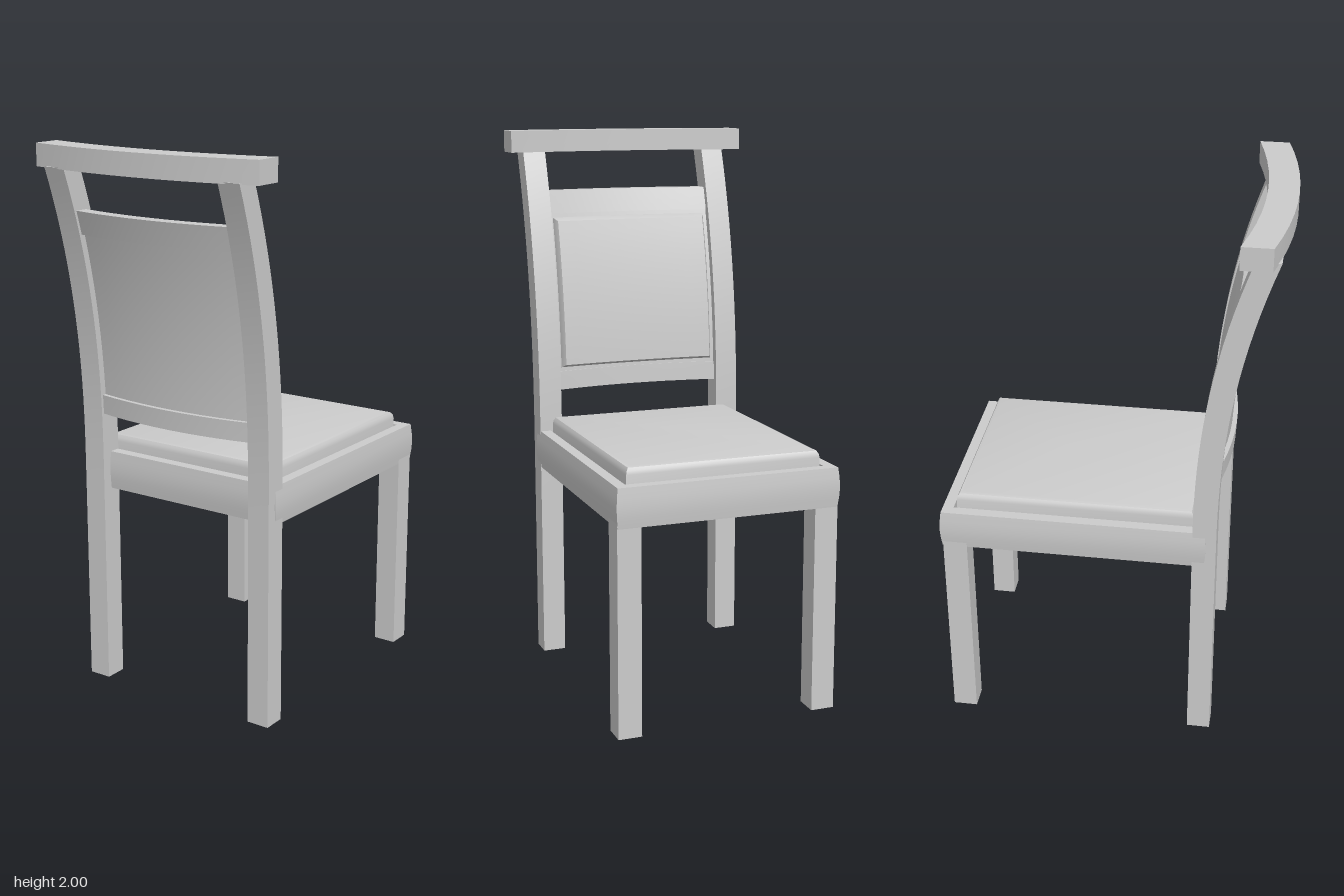
import * as THREE from 'three';
import { toCreasedNormals } from 'three/addons/utils/BufferGeometryUtils.js';

const material = new THREE.MeshStandardMaterial({ color: 0xcccccc });

// Centre line of the raked back posts: straight below the seat, curving back above it
const postZ = (y) => 0.351 + 0.146 * Math.pow(Math.max(0, y - 0.85), 2.3);
const bow = (x, half, depth) => depth * (1 - (x / half) ** 2);

function addMesh(parent, name, geometry) {
  const mesh = new THREE.Mesh(toCreasedNormals(geometry, 0.55), material);
  mesh.name = name;
  parent.add(mesh);
  return mesh;
}

// Box between y0 and y1 whose vertices are moved by a rule
function bentBox(width, y0, y1, depth, segments, rule) {
  const geometry = new THREE.BoxGeometry(width, y1 - y0, depth, ...segments);
  geometry.translate(0, (y0 + y1) / 2, 0);
  const p = geometry.attributes.position;
  const v = new THREE.Vector3();
  for (let i = 0; i < p.count; i++) {
    v.fromBufferAttribute(p, i);
    rule(v);
    p.setXYZ(i, v.x, v.y, v.z);
  }
  return geometry;
}

// Sweep an [inset, y] profile around a rectangle with mitred corners
function rectSweep(halfX, z0, z1, profile) {
  const rings = profile.map(([inset, y]) => {
    const x = halfX - inset;
    return [[-x, y, z1 - inset], [x, y, z1 - inset], [x, y, z0 + inset], [-x, y, z0 + inset]];
  });
  const points = [];
  for (let i = 0; i < rings.length - 1; i++) {
    for (let s = 0; s < 4; s++) {
      const t = (s + 1) % 4;
      const [a, b, c, d] = [rings[i][s], rings[i][t], rings[i + 1][t], rings[i + 1][s]];
      points.push(...a, ...b, ...c, ...a, ...c, ...d);
    }
  }
  const geometry = new THREE.BufferGeometry();
  geometry.setAttribute('position', new THREE.Float32BufferAttribute(points, 3));
  return geometry;
}

export function createModel() {
  const chair = new THREE.Group();
  chair.name = 'chair';

  // Seat frame with softly bowed outer faces, open in the middle
  addMesh(chair, 'seatFrame', rectSweep(0.407, -0.597, 0.357, [
    [0.045, 0.74], [0.006, 0.74], [0.002, 0.775], [0, 0.81], [0.002, 0.845],
    [0.006, 0.88], [0.045, 0.88], [0.045, 0.74],
  ]));

  // Seat cushion with rounded top edges
  addMesh(chair, 'seatCushion', rectSweep(0.354, -0.541, 0.309, [
    [0.354, 0.80], [0, 0.80], [0, 0.908], [0.003, 0.921], [0.009, 0.931], [0.02, 0.935], [0.354, 0.935],
  ]));

  for (const [side, sign] of [['left', 1], ['right', -1]]) {
    // Front leg
    const leg = addMesh(chair, `${side}FrontLeg`, new THREE.BoxGeometry(0.085, 0.80, 0.087));
    leg.position.set(sign * 0.3605, 0.40, -0.545);
    // Back leg and post in one curved piece
    const post = addMesh(chair, `${side}BackPost`,
      bentBox(0.085, 0, 1.925, 0.084, [1, 32, 1], (v) => { v.z += postZ(v.y); }));
    post.position.x = sign * 0.3605;
  }

  // Bowed top rail
  addMesh(chair, 'topRail', bentBox(0.92, 1.92, 2.0, 0.105, [10, 1, 1], (v) => {
    v.z += 0.488 + bow(v.x, 0.46, 0.056);
  }));

  // Cross rails above and below the back panel
  for (const [name, y0, y1] of [['upperBackRail', 1.69, 1.775], ['lowerBackRail', 1.03, 1.10]]) {
    addMesh(chair, name, bentBox(0.65, y0, y1, 0.05, [10, 2, 1], (v) => {
      v.z += postZ(v.y) + 0.005 + bow(v.x, 0.325, 0.036);
    }));
  }

  // Back panel
  addMesh(chair, 'backPanel', bentBox(0.65, 1.09, 1.70, 0.03, [10, 14, 1], (v) => {
    v.z += postZ(v.y) + bow(v.x, 0.325, 0.034);
  }));

  // Padding on the sitter's side, with bevelled edges
  addMesh(chair, 'backPad', bentBox(0.61, 1.115, 1.675, 0.05, [10, 14, 2], (v) => {
    if (v.z < -0.02) {
      v.x *= 0.96;
      v.y = 1.395 + (v.y - 1.395) * 0.96;
    }
    v.z += postZ(v.y) - 0.015 + bow(v.x, 0.325, 0.018);
  }));

  return chair;
}
